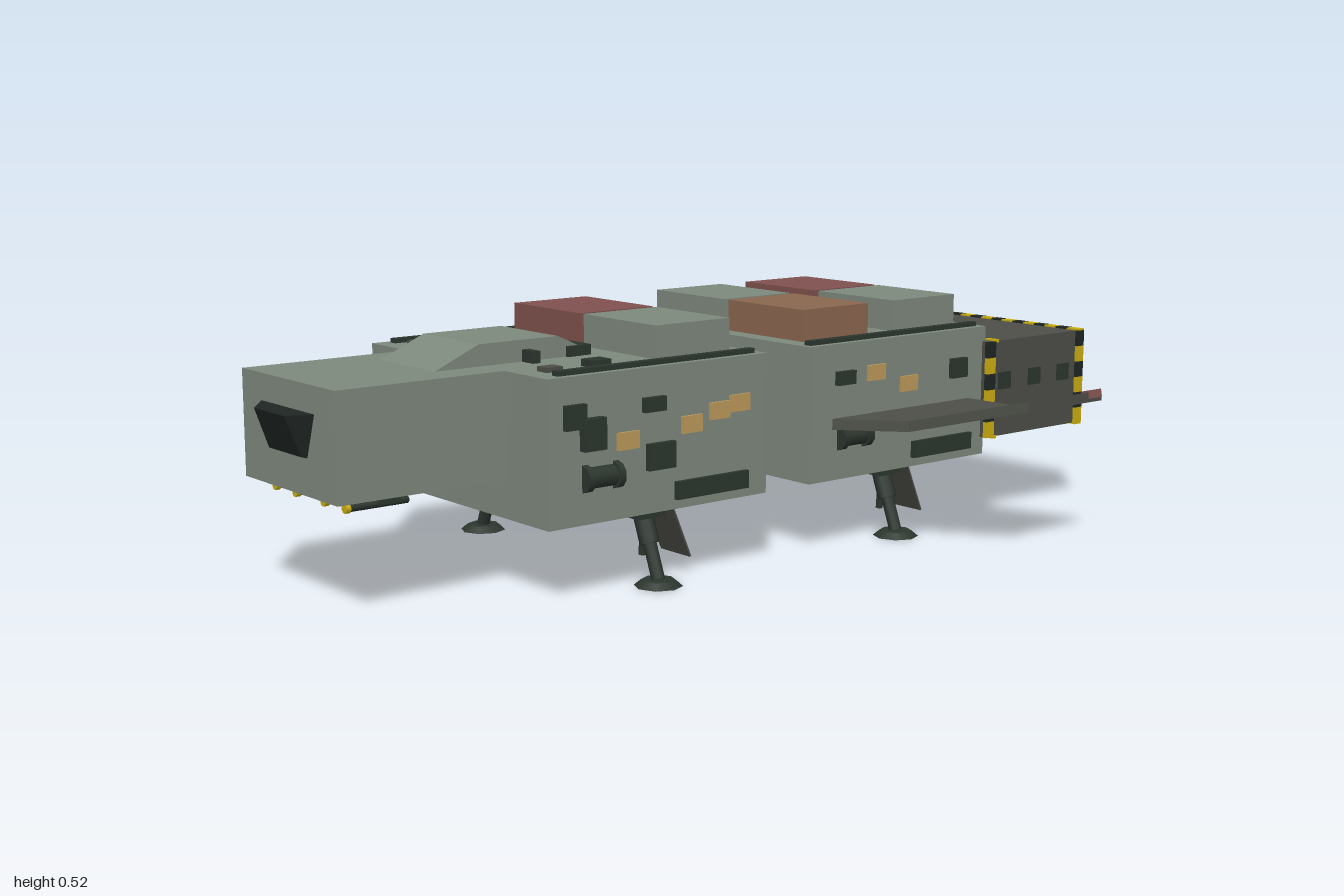
import * as THREE from 'three';

const mat = (name, color) => new THREE.MeshStandardMaterial({ name, color });

export function createModel() {
  const M = {
    hull: mat('hull grey green', 0x7f8a7f),
    frame: mat('frame grey', 0x4d4f48),
    dark: mat('dark fittings', 0x2d362f),
    black: mat('black glass', 0x1f2623),
    red: mat('container red', 0x80524f),
    brown: mat('container brown', 0x8c6850),
    tan: mat('tan panels', 0xbf9c5c),
    yellow: mat('hazard yellow', 0xcdb012),
  };
  const root = new THREE.Group();
  root.name = 'cargoShip';

  const add = (name, geo, m, parent = root) => {
    const mesh = new THREE.Mesh(geo, m);
    mesh.name = name;
    parent.add(mesh);
    return mesh;
  };
  // box given by its limits on each axis
  const box = (name, m, x0, x1, y0, y1, z0, z1, parent) => {
    const mesh = add(name, new THREE.BoxGeometry(Math.abs(x1 - x0), Math.abs(y1 - y0), Math.abs(z1 - z0)), m, parent);
    mesh.position.set((x0 + x1) / 2, (y0 + y1) / 2, (z0 + z1) / 2);
    return mesh;
  };
  // cylinder from point a to point b
  const rod = (name, m, a, b, ra, rb = ra, sides = 10) => {
    const A = new THREE.Vector3(...a), B = new THREE.Vector3(...b);
    const d = B.clone().sub(A);
    const mesh = add(name, new THREE.CylinderGeometry(rb, ra, d.length(), sides), m);
    mesh.position.copy(A).addScaledVector(d, 0.5);
    mesh.quaternion.setFromUnitVectors(new THREE.Vector3(0, 1, 0), d.normalize());
    return mesh;
  };
  // faceted skin through rings of equal point count, capped at both ends
  const loft = (rings, flip) => {
    const n = rings[0].length, idx = [];
    const tri = (a, b, c) => idx.push(...(flip ? [a, c, b] : [a, b, c]));
    for (let r = 0; r < rings.length - 1; r++) for (let i = 0; i < n; i++) {
      const a = r * n + i, b = r * n + (i + 1) % n;
      tri(a, b, b + n); tri(a, b + n, a + n);
    }
    const e = (rings.length - 1) * n;
    for (let i = 1; i < n - 1; i++) { tri(0, i + 1, i); tri(e, e + i, e + i + 1); }
    const indexed = new THREE.BufferGeometry();
    indexed.setAttribute('position', new THREE.Float32BufferAttribute(rings.flat(2), 3));
    indexed.setIndex(idx);
    const g = indexed.toNonIndexed();
    g.computeVertexNormals();
    return g;
  };

  // main hull
  box('frontHull', M.hull, -0.325, 0.325, 0.155, 0.455, 0.01, 0.577);
  box('rearHull', M.hull, -0.325, 0.325, 0.155, 0.455, -0.67, -0.115);
  box('nose', M.hull, -0.183, 0.183, 0.235, 0.455, 0.577, 0.96);
  box('connector', M.frame, -0.162, 0.162, 0.205, 0.405, -0.115, 0.01);
  for (const y of [0.22, 0.39]) box('connectorPin', M.dark, -0.172, 0.172, y - 0.012, y + 0.012, -0.06, -0.04);

  // nose window, a wedge leaning forward at the top
  add('window', loft([
    [[-0.075, 0.31, 0.958], [0.075, 0.31, 0.958], [0.107, 0.4, 0.958], [-0.107, 0.4, 0.958]],
    [[-0.065, 0.312, 0.968], [0.065, 0.312, 0.968], [0.06, 0.395, 1], [-0.06, 0.395, 1]],
  ]), M.black);

  // raised canopy behind the nose
  const profile = new THREE.Shape([[-0.7, 0.45], [-0.585, 0.5], [-0.39, 0.5], [-0.33, 0.473], [-0.33, 0.45]]
    .map(p => new THREE.Vector2(...p)));
  const canopy = add('canopy', new THREE.ExtrudeGeometry(profile, { depth: 0.206, bevelEnabled: false }), M.hull);
  canopy.rotation.y = Math.PI / 2;
  canopy.position.x = -0.103;

  // cargo containers
  for (const [m, x0, z0] of [['red', -0.255, 0.05], ['hull', 0.005, 0.05], ['red', -0.255, -0.64],
    ['hull', 0.005, -0.64], ['hull', -0.255, -0.36], ['brown', 0.005, -0.36]])
    box('container', M[m], x0, x0 + 0.246, 0.45, 0.525, z0, z0 + 0.2);

  for (const s of [-1, 1]) {
    // roof rails and fittings
    box('roofRail', M.dark, s * 0.291, s * 0.309, 0.455, 0.465, 0.03, 0.54);
    box('roofRail', M.dark, s * 0.291, s * 0.309, 0.455, 0.465, -0.655, -0.13);
    box('roofClamp', M.dark, s * 0.04, s * 0.11, 0.455, 0.477, 0.31, 0.332);
    box('roofClamp', M.dark, s * 0.104, s * 0.112, 0.455, 0.477, 0.332, 0.37);
    box('canopyHinge', M.dark, s * 0.103, s * 0.142, 0.455, 0.48, 0.462, 0.48);
    box('roofHatch', M.dark, s * 0.226, s * 0.265, 0.455, 0.47, 0.375, 0.422);
    box('roofHatch', M.frame, s * 0.226, s * 0.258, 0.455, 0.465, 0.49, 0.53);

    // bent wing: root, knee and tip sections
    const ring = (x, y, t, zf, zb) => [[s * x, y - t, zb], [s * x, y + t, zb], [s * x, y + t, zf], [s * x, y - t, zf]];
    add('wing', loft([ring(0.31, 0.28, 0.012, -0.17, -0.614), ring(0.45, 0.28, 0.012, -0.292, -0.622),
      ring(0.69, 0.343, 0.011, -0.4, -0.64)], s < 0), M.frame);
    const lamp = box('wingTipLight', s < 0 ? M.tan : M.red, s * 0.672, s * 0.692, 0.338, 0.356, -0.637, -0.595);
    lamp.rotation.z = s * 0.25;

    // landing gear with open bay doors
    for (const z of [0.3, -0.39]) {
      box('legMount', M.dark, s * 0.235, s * 0.3, 0.137, 0.157, z - 0.034, z + 0.034);
      rod('legSleeve', M.dark, [s * 0.267, 0.15, z], [s * 0.293, 0.083, z], 0.021);
      rod('leg', M.dark, [s * 0.267, 0.15, z], [s * 0.321, 0.012, z], 0.014);
      rod('legBrace', M.dark, [s * 0.268, 0.055, z], [s * 0.275, 0.15, z], 0.008);
      rod('footPad', M.dark, [s * 0.321, 0, z], [s * 0.321, 0.013, z], 0.051, 0.035, 8);
      const door = box('bayDoor', M.frame, s * 0.208, s * 0.304, 0.037, 0.155, z - 0.079, z - 0.075);
      door.rotation.x = 0.4;
    }

    // side vents, boxes and tanks: material, z range, y range, depth
    const fittings = [
      ['dark', 0.49, 0.54, 0.35, 0.4, 0.012], ['dark', 0.446, 0.5, 0.305, 0.37, 0.018],
      ['dark', 0.29, 0.345, 0.365, 0.395, 0.012], ['dark', 0.265, 0.335, 0.245, 0.3, 0.012],
      ['dark', 0.067, 0.26, 0.175, 0.213, 0.01], ['dark', -0.243, -0.19, 0.365, 0.395, 0.012],
      ['dark', -0.62, -0.43, 0.175, 0.213, 0.01], ['dark', -0.6, -0.55, 0.345, 0.39, 0.012],
      ['tan', -0.34, -0.286, 0.365, 0.4, 0.006], ['tan', -0.443, -0.39, 0.33, 0.365, 0.006],
    ];
    for (const [z, y] of [[0.355, 0.295], [0.19, 0.31], [0.115, 0.33], [0.06, 0.34]])
      fittings.push([s > 0 ? 'tan' : 'dark', z, z + 0.054, y, y + 0.036, 0.006]);
    for (const [m, z0, z1, y0, y1, d] of fittings)
      box('sideFitting', M[m], s * 0.322, s * (0.325 + d), y0, y1, z0, z1);
    for (const z of [0.45, -0.243]) {
      rod('sideTank', M.dark, [s * 0.325, 0.248, z - 0.036], [s * 0.325, 0.248, z + 0.036], 0.022);
      for (const o of [-0.038, 0.038])
        rod('tankBand', M.dark, [s * 0.325, 0.248, z + o - 0.007], [s * 0.325, 0.248, z + o + 0.007], 0.028);
    }
    for (const z of [-0.722, -0.827, -0.93])
      box('enginePort', M.dark, s * 0.338, s * 0.343, 0.305, 0.345, z - 0.021, z + 0.021);
    box('engineSlot', M.dark, s * 0.338, s * 0.343, 0.245, 0.26, -0.91, -0.74);
  }

  // engine block, with three round bays cut into its back
  box('engineBlock', M.frame, -0.34, 0.34, 0.195, 0.42, -0.91, -0.66);
  const back = new THREE.Shape([[-0.34, -0.1125], [0.34, -0.1125], [0.34, 0.1125], [-0.34, 0.1125]]
    .map(p => new THREE.Vector2(...p)));
  for (const x of [-0.215, 0, 0.215]) back.holes.push(new THREE.Path().absarc(x, 0, 0.09, 0, Math.PI * 2, true));
  const bay = add('engineBays', new THREE.ExtrudeGeometry(back, { depth: 0.085, bevelEnabled: false, curveSegments: 12 }), M.frame);
  bay.position.set(0, 0.3075, -0.995);
  for (const x of [-0.215, 0, 0.215]) {
    rod('bayFloor', M.black, [x, 0.3075, -0.915], [x, 0.3075, -0.905], 0.09, 0.09, 24);
    const rim = add('engineRim', new THREE.TorusGeometry(0.08, 0.011, 6, 24), M.dark);
    rim.position.set(x, 0.3075, -0.985);
    rod('engineCone', M.dark, [x, 0.3075, -0.97], [x, 0.3075, -0.91], 0.05, 0.07, 20);
    rod('engineCore', M.brown, [x, 0.3075, -0.978], [x, 0.3075, -0.96], 0.034, 0.034, 16);
    rod('engineCoreTip', M.tan, [x, 0.3075, -0.982], [x, 0.3075, -0.975], 0.018, 0.018, 12);
  }

  // hazard stripes framing both ends of the engine block
  const hazard = new THREE.Group();
  hazard.name = 'hazardStripes';
  root.add(hazard);
  for (const [z0, z1] of [[-1, -0.978], [-0.695, -0.682]]) {
    for (let i = 0; i < 20; i++) {
      const x = -0.345 + i * 0.0345, m = i % 2 ? M.yellow : M.black;
      box('stripe', m, x, x + 0.0345, 0.417, 0.424, z0, z1, hazard);
      box('stripe', m, x, x + 0.0345, 0.191, 0.198, z0, z1, hazard);
      if (z0 === -1) for (const y of [0.198, 0.405])
        box('stripe', m, x, x + 0.0345, y, y + 0.012, -1, -0.993, hazard);
    }
  }
  for (const s of [-1, 1]) for (let i = 0; i < 6; i++) {
    const y = 0.195 + i * 0.0375, m = i % 2 ? M.black : M.yellow;
    box('stripe', m, s * 0.336, s * 0.346, y, y + 0.0375, -1, -0.975, hazard);
    box('stripe', m, s * 0.336, s * 0.346, y, y + 0.0375, -0.685, -0.658, hazard);
    box('stripe', m, s * 0.322, s * 0.34, y, y + 0.0375, -1, -0.993, hazard);
  }

  // chin guns with yellow muzzles
  for (const x of [-0.14, -0.057, 0.055, 0.137]) {
    box('gunMount', M.dark, x - 0.01, x + 0.01, 0.215, 0.237, 0.8, 0.85);
    rod('gunBarrel', M.dark, [x, 0.217, 0.78], [x, 0.217, 0.915], 0.008);
    rod('gunMuzzle', M.yellow, [x, 0.217, 0.91], [x, 0.217, 0.92], 0.01);
  }

  // belly panels
  for (let i = 0; i < 4; i++)
    box('bellyPanel', M.tan, -0.027, 0.027, 0.147, 0.157, 0.035 + i * 0.036, 0.06 + i * 0.036);

  return root;
}
